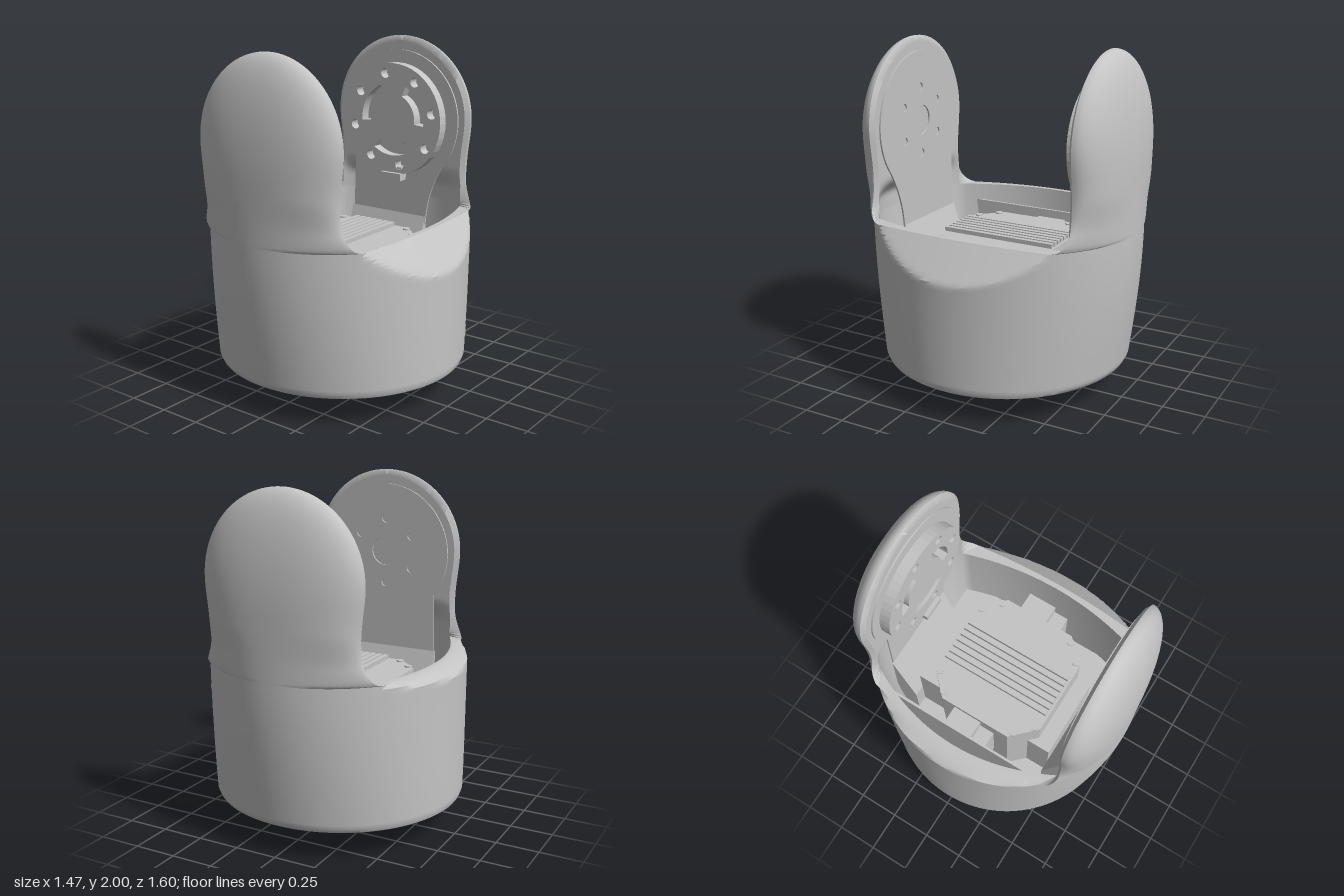
import * as THREE from 'three';
import { toCreasedNormals } from 'three/addons/utils/BufferGeometryUtils.js';

const grey = new THREE.MeshStandardMaterial({ color: 0xc4c4c4 });
grey.name = 'shell grey';

const SPLIT = 0.54, EDGE = 0.62, INNER = 0.6, INNER_W = 0.44, N = 32, M = 28;
const mix = THREE.MathUtils.lerp, smooth = THREE.MathUtils.smoothstep;

// Elliptic plan of the cup, slightly flared along z
const halfX = (y) => 0.735 - 0.006 * smooth(y, 0.2, 0.9);
const halfZ = (y) => 0.725 + 0.075 * Math.sin(Math.PI / 2 * Math.min(1, Math.max(0, (y - 0.165) / 0.835)));
const other = (v, a, b) => b * Math.sqrt(Math.max(0, 1 - (v / a) ** 2));
const planZ = (x, y) => other(x, halfX(y), halfZ(y));
const planX = (z, y) => other(z, halfZ(y), halfX(y));
const rimX = (z, s) => (s > 0 ? 0.57 - 0.035 * (z / SPLIT) ** 2 : 0.63 - 0.095 * (z / SPLIT) ** 2);
const innerZ = (t) => INNER + 0.1 * (1 - t ** 4);
const arcT = (i) => Math.sin((i / N - 0.5) * Math.PI);

// Skin closed rings of equal length
function loft(rows, crease = 0.6) {
  const n = rows[0].length, idx = [];
  for (let r = 0; r < rows.length - 1; r++) for (let i = 0; i < n; i++) {
    const j = (i + 1) % n, a = r * n + i, b = r * n + j;
    idx.push(a, b, b + n, a, b + n, a + n);
  }
  const g = new THREE.BufferGeometry();
  g.setAttribute('position', new THREE.Float32BufferAttribute(rows.flat(2), 3));
  g.setIndex(idx);
  return toCreasedNormals(g, crease);
}

// One ring: front arc, +x side, back arc, -x side
function ring(front, side) {
  const p = [];
  for (const s of [1, -1]) {
    for (let i = 0; i <= N; i++) p.push(front(arcT(i) * s, s));
    for (let i = 1; i < M; i++) p.push(side(SPLIT * s * (1 - 2 * i / M), s));
  }
  return p;
}
const outerRing = (y, k = 1) => {
  const w = planX(SPLIT, y);
  return ring(
    (t, s) => [w * t * k, y, s * planZ(w * t, y) * k],
    (z, s) => [s * k * Math.min(planX(z, y), rimX(z, s) + (1 - y) * (s > 0 ? 0.77 : 2.1)), y, z * k]);
};
const innerRing = (y, k) => ring(
  (t, s) => [INNER_W * t * k, y, s * innerZ(t) * k],
  (z, s) => [s * k * (rimX(z, s) - 0.03 - 0.065 * (z / SPLIT) ** 2), y, z * k * INNER / SPLIT]);

function cupGeometry() {
  const rows = [outerRing(0.26, 0.92), outerRing(0.165, 0.92), outerRing(0.165, 0.965), outerRing(0.175, 0.987), outerRing(0.2, 1)];
  for (let i = 1; i <= 40; i++) rows.push(outerRing(0.2 + 0.02 * i));
  rows.push(innerRing(1, 1), innerRing(0.65, 0.97), innerRing(0.27, 0.88));
  return loft(rows);
}

// Upright rounded lobe: filleted foot, waist, chamfered edge, hollow lower back
function lobeGeometry() {
  const rows = [], w1 = planX(SPLIT, 1), steps = 52;
  for (let r = 0; r <= steps; r++) {
    const k = r / steps;
    const y = k < 0.5 ? 1 + 1.04 * Math.pow(2 * k, 1.3) / 2 : 1.52 + 0.48 * Math.sin((k - 0.5) * Math.PI);
    const w = y < 1.25 ? 0.457 + (w1 - 0.457) * (1 - (y - 1) / 0.25) ** 3
      : y < 1.52 ? mix(0.457, 0.48, smooth(y, 1.25, 1.52))
        : Math.sqrt(Math.max(0, 0.48 ** 2 - (y - 1.52) ** 2));
    const f = Math.max(0, 1 - (y - 1) / 0.1);
    const ze = EDGE - (EDGE - SPLIT) * (1 - Math.sqrt(1 - f * f));
    const u = Math.max(0, (y - 1.35) / 0.65);
    const peak = EDGE + 0.18 * Math.sqrt(Math.max(0, 1 - u * u));
    const b = smooth(y, 1, 1.3);
    const wi = Math.max(0, Math.min(w - 0.025, y < 1.25 ? INNER_W : 1));
    const yi = y > 1.52 ? 1.52 + (y - 1.52) * 0.94 : y, p = [];
    for (let i = 0; i <= N; i++) {
      const t = arcT(i);
      const low = (planZ(w1 * t, 1) - SPLIT) / (0.8 - SPLIT);
      const high = Math.sqrt(Math.max(0, 1 - Math.abs(t) ** 2.3));
      p.push([w * t, y, ze + (peak - ze) * mix(low, high, b)]);
    }
    for (let i = N; i >= 0; i--) {
      const t = arcT(i);
      p.push([wi * t, yi, mix(innerZ(t), INNER, smooth(y, 1.08, 1.22))]);
    }
    rows.push(p);
  }
  return loft(rows);
}

// Small round plate that follows the cup wall
function wallDisc(cx, cy, r, s) {
  const pts = (k) => Array.from({ length: 24 }, (_, i) => {
    const a = i / 24 * Math.PI * 2, x = cx + Math.cos(a) * r * k, y = cy + Math.sin(a) * r * k;
    return [x, y, s * (planZ(x, y) + 0.004)];
  });
  const rows = [pts(1), pts(0.5), pts(0)];
  return loft(s > 0 ? rows : rows.reverse());
}

const shapeOf = (pts) => new THREE.Shape(pts.map(([x, y]) => new THREE.Vector2(x, y)));
const circle = (x, y, r) => new THREE.Path().absarc(x, y, r, 0, Math.PI * 2, true);
const extrude = (shape, depth) => new THREE.ExtrudeGeometry(shape, { depth, bevelEnabled: false, curveSegments: 24 });
const slab = (shape, y0, y1) => extrude(shape, y1 - y0).rotateX(-Math.PI / 2).translate(0, y0, 0);
const octagon = (a, b, c) => shapeOf([[-a, -b + c], [-a + c, -b], [a - c, -b], [a, -b + c], [a, b - c], [a - c, b], [-a + c, b], [-a, b - c]]);

export function createModel() {
  const root = new THREE.Group();
  root.name = 'jointHousing';
  const add = (name, g) => {
    const mesh = new THREE.Mesh(g, grey);
    mesh.name = name;
    root.add(mesh);
    return mesh;
  };
  const box = (name, x0, x1, y0, y1, z0, z1) => add(name, new THREE.BoxGeometry(x1 - x0, y1 - y0, z1 - z0)
    .translate((x0 + x1) / 2, (y0 + y1) / 2, (z0 + z1) / 2));
  const cyl = (name, r, y0, y1, x = 0, z = 0, seg = 40) =>
    add(name, new THREE.CylinderGeometry(r, r, y1 - y0, seg).translate(x, (y0 + y1) / 2, z));

  // Outer shell
  add('cup', cupGeometry());
  add('frontLobe', lobeGeometry());
  add('backLobe', lobeGeometry().rotateY(Math.PI));
  for (const s of [1, -1]) for (const [x, y] of [[-0.575, 0.83], [0.575, 0.83], [-0.635, 0.325], [0.63, 0.325]])
    add('screwSeat', wallDisc(x, y, 0.044, s));

  // Bracket arms lining the lobes
  for (const s of [1, -1]) {
    const arm = new THREE.Shape();
    arm.moveTo(-0.35, 0.5);
    arm.lineTo(0.2, 0.5);
    arm.lineTo(0.2, 0.8);
    arm.bezierCurveTo(0.2, 1.0, 0.25, 1.12, 0.33, 1.25);
    arm.absarc(0, 1.5, 0.415, -0.65, Math.PI + 0.65, false);
    arm.lineTo(-0.35, 0.5);
    if (s > 0) {
      arm.holes.push(circle(0, 1.5, 0.09));
      for (let i = 0; i < 6; i++) arm.holes.push(circle(0.2 * Math.sin(i * Math.PI / 3), 1.5 + 0.2 * Math.cos(i * Math.PI / 3), 0.024));
    }
    add('bracketArm', extrude(arm, 0.01).translate(0, 0, s > 0 ? 0.589 : -0.599));
    const foot = shapeOf([[s * 0.59, 0.9], [s * 0.46, 0.5], [s * 0.46, 0.28], [s * 0.59, 0.28]]);
    add('bracketFoot', extrude(foot, 0.55).rotateY(-Math.PI / 2).translate(0.2, 0, 0));
  }

  // Output flange with bolt holes and three curved slots
  const flange = new THREE.Shape().absarc(0, 0, 0.343, 0, Math.PI * 2, false);
  for (let i = 0; i < 8; i++) flange.holes.push(circle(0.285 * Math.cos(i * Math.PI / 4 + 0.2), 0.285 * Math.sin(i * Math.PI / 4 + 0.2), 0.03));
  for (let i = 0; i < 3; i++) {
    const a = i * Math.PI * 2 / 3 - Math.PI / 2 - 0.63, slot = new THREE.Path();
    slot.absarc(0, 0, 0.225, a, a + 1.26, false);
    slot.absarc(0, 0, 0.16, a + 1.26, a, true);
    slot.closePath();
    flange.holes.push(slot);
  }
  add('outputFlange', extrude(flange, 0.065).translate(-0.01, 1.495, -0.59));
  box('flangeTab', -0.075, 0.07, 1.12, 1.165, -0.56, -0.5);
  box('flangeTabRoot', -0.06, 0.055, 1.13, 1.2, -0.59, -0.53);

  // Finned motor block
  add('motorBody', slab(octagon(0.37, 0.365, 0.14), 0.28, 0.88));
  box('motorBase', -0.28, 0.21, 0.28, 0.7, -0.46, 0.46);
  for (let i = 0; i < 7; i++) box('coolingFin', -0.145 + i * 0.042, -0.117 + i * 0.042, 0.87, 0.905, -0.35, 0.35);
  for (const sx of [1, -1]) for (const sz of [1, -1]) for (const [x, z] of [[0.235, 0.33], [0.33, 0.24]])
    cyl('motorScrew', 0.022, 0.87, 0.888, sx * x, sz * z, 16);

  // Inner frame
  for (const s of [1, -1]) {
    const x0 = s > 0 ? 0.36 : -0.49;
    box('sideBlock', x0, x0 + 0.13, 0.45, 0.85, -0.14, 0.04);
    box('sideBlockStep', x0, x0 + 0.13, 0.45, 0.78, 0.04, 0.13);
    box('deck', 0.2, 0.47, 0.5, 0.55, s > 0 ? 0.14 : -0.57, s > 0 ? 0.57 : -0.14);
  }
  box('sideWall', -0.5, -0.485, 0.27, 0.9, -0.5, 0.5);

  // Floor with two slots
  const floor = new THREE.Shape().absellipse(0, 0, 0.685, 0.685, 0, Math.PI * 2, false, 0);
  for (const s of [1, -1]) floor.holes.push(new THREE.Path([[-0.47, 0.15], [-0.38, 0.15], [-0.38, 0.45], [-0.47, 0.45]]
    .map(([x, z]) => new THREE.Vector2(x, z * s))));
  add('floor', slab(floor, 0.24, 0.27));

  // Underside mount
  const mount = octagon(0.37, 0.45, 0.16);
  mount.holes.push(circle(0, 0, 0.33));
  add('mountFrame', slab(mount, 0.17, 0.25));
  const half = shapeOf([[0, -0.39], [0, 0.39], [-0.23, 0.39], [-0.41, 0.2], [-0.41, -0.2], [-0.23, -0.39]]);
  add('mountHalf', slab(half, 0.1, 0.165));
  cyl('upperHub', 0.33, 0.15, 0.25);
  cyl('middleHub', 0.25, 0.12, 0.16);
  cyl('lowerHub', 0.292, 0.083, 0.12);
  box('hubTab', 0.2, 0.375, 0.083, 0.12, -0.1, 0.1);
  for (let i = 0; i < 4; i++) {
    const a = i * Math.PI / 2 + Math.PI / 4;
    cyl('hubScrew', 0.02, 0.08, 0.09, 0.21 * Math.cos(a), 0.21 * Math.sin(a), 16);
  }
  cyl('hexNut', 0.085, 0, 0.09, 0, 0, 6).geometry.rotateY(Math.PI / 6);
  return root;
}
